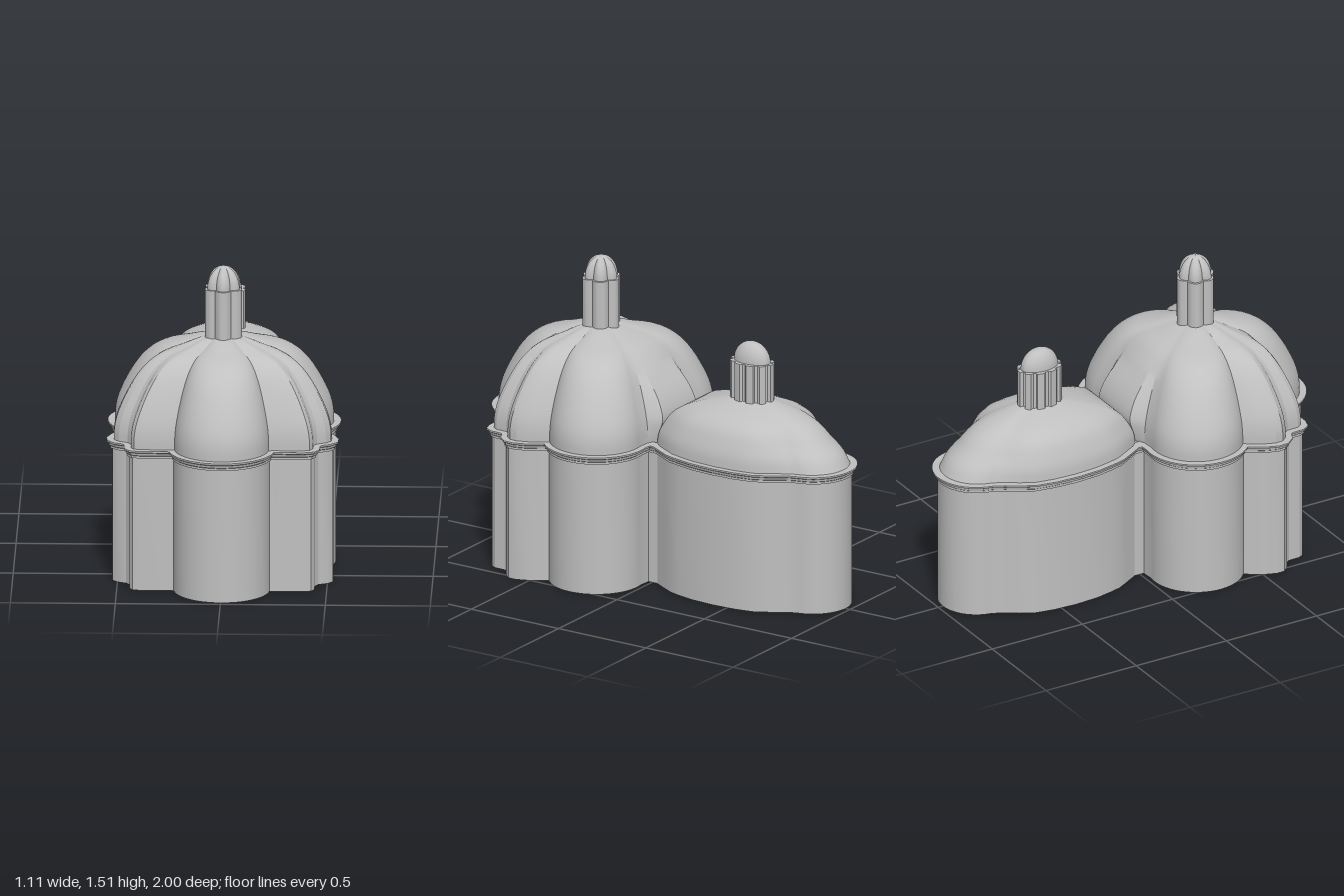
import * as THREE from 'three';
import { toCreasedNormals } from 'three/addons/utils/BufferGeometryUtils.js';

// Points (x, z) along an arc, angles in degrees measured from +x towards +z
function arc(cx, cz, r, from, to, n = 16) {
  return Array.from({ length: n + 1 }, (_, i) => {
    const a = THREE.MathUtils.degToRad(from + (to - from) * i / n);
    return [cx + r * Math.cos(a), cz + r * Math.sin(a)];
  });
}

// Close a right-hand half outline by reflecting it across x = 0
function mirrorOutline(half) {
  return [...half, ...half.slice(1, -1).reverse().map(([x, z]) => [-x, z])];
}

// Move an outline outward by d along its corner normals
function offset(outline, d) {
  const n = outline.length;
  return outline.map(([x, z], i) => {
    const [px, pz] = outline[(i + n - 1) % n], [qx, qz] = outline[(i + 1) % n];
    const a = new THREE.Vector2(-(z - pz), x - px).normalize();
    const b = new THREE.Vector2(-(qz - z), qx - x).normalize();
    const m = a.clone().add(b).normalize();
    const k = d / Math.max(0.65, m.dot(a));
    return [x + m.x * k, z + m.y * k];
  });
}

// Skin a stack of rings, each { y, pts }
function loft(rings, crease = 0.5) {
  const n = rings[0].pts.length, pos = [], idx = [];
  rings.forEach(({ y, pts }) => pts.forEach(([x, z]) => pos.push(x, y, z)));
  for (let i = 0; i < rings.length - 1; i++) {
    for (let j = 0; j < n; j++) {
      const a = i * n + j, b = i * n + (j + 1) % n, c = a + n, d = b + n;
      idx.push(a, b, c, b, d, c);
    }
  }
  const geo = new THREE.BufferGeometry();
  geo.setAttribute('position', new THREE.Float32BufferAttribute(pos, 3));
  geo.setIndex(idx);
  return toCreasedNormals(geo, crease);
}

// Smooth an [y, scale, ...] profile table into more rows
function smoothRows(rows, n) {
  const curves = rows[0].slice(1).map((_, k) =>
    new THREE.CatmullRomCurve3(rows.map(r => new THREE.Vector3(r[0], r[k + 1], 0))));
  return Array.from({ length: n + 1 }, (_, i) => {
    const p = curves.map(c => c.getPoint(i / n));
    return [p[0].x, ...p.map(v => v.y)];
  });
}

const scaled = (pts, s) => pts.map(([x, z]) => [x * s, z * s]);

export function createModel() {
  const group = new THREE.Group();
  const stone = new THREE.MeshStandardMaterial({ color: 0xc0c0c0, side: THREE.DoubleSide });
  stone.name = 'pale grey stone';
  const add = (name, geo, z = 0) => {
    const mesh = new THREE.Mesh(geo, stone);
    mesh.name = name;
    mesh.position.z = z;
    group.add(mesh);
  };

  // Lobed plan of the front hall and the long oval plan of the rear hall
  const frontHalf = [
    ...arc(0, 0.745, 0.23, 90, 8),
    [0.25, 0.775], [0.39, 0.775], [0.425, 0.765], [0.44, 0.74], [0.442, 0.68], [0.458, 0.655],
    [0.50, 0.635], [0.525, 0.605], [0.527, 0.565], [0.505, 0.505], [0.47, 0.45],
    ...arc(0.30, 0.25, 0.23, 49, -100, 26),
    [0.20, 0.02],
  ];
  const rearHalf = [
    [0.20, -0.03], [0.24, -0.10], [0.27, -0.155], [0.285, -0.21], [0.303, -0.30], [0.31, -0.42],
    [0.303, -0.54], [0.285, -0.635], [0.25, -0.70], [0.215, -0.755], [0.195, -0.79],
    ...arc(0, -0.79, 0.185, -10, -90),
  ];

  // Hollow walls with a flared moulding along the top: [offset, y]
  const plan = mirrorOutline([...frontHalf, ...rearHalf]);
  const wallProfile = [
    [-0.03, 0.69], [-0.03, 0], [0, 0], [0, 0.655], [0.008, 0.657], [0.008, 0.668],
    [0.014, 0.672], [0.017, 0.684], [0.026, 0.689], [0.026, 0.697], [-0.03, 0.697], [-0.03, 0.69],
  ];
  add('wallsAndCornice', loft(wallProfile.map(([d, y]) => ({ y, pts: offset(plan, d) }))));

  // Front dome: the plan shrinks towards its centre, with a fuller back: [y, scale, back fullness]
  const fc = 0.425;
  const frontPlan = mirrorOutline([...frontHalf, [0.15, 0.0], [0, -0.005]]);
  const frontRows = smoothRows([
    [0.69, 0.985, 1], [0.75, 0.982, 1.04], [0.81, 0.96, 1.1], [0.90, 0.89, 1.1], [1.0, 0.78, 1.03],
    [1.06, 0.68, 1], [1.10, 0.57, 1], [1.135, 0.38, 1], [1.17, 0.165, 1], [1.172, 0.01, 1],
  ], 36);
  add('frontDome', loft(frontRows.map(([y, s, f]) => ({
    y,
    pts: frontPlan.map(([x, z]) => {
      const full = z < 0.015 && Math.abs(x) < 0.18 ? f : 1;
      return [x * s, (z - fc) * s * full];
    }),
  })), 0.4), fc);

  // Rear dome with a lower rounded tail: [y, scale, tail scale]
  const rc = -0.44;
  const rearPlan = mirrorOutline([[0, 0], [0.17, 0], ...rearHalf]);
  const rearRows = smoothRows([
    [0.69, 0.985, 0.985], [0.75, 0.965, 0.92], [0.81, 0.90, 0.80], [0.86, 0.82, 0.70],
    [0.90, 0.69, 0.58], [0.93, 0.51, 0.44], [0.95, 0.34, 0.31], [0.965, 0.18, 0.18], [0.967, 0.01, 0.01],
  ], 32);
  add('rearDome', loft(rearRows.map(([y, s, tail]) => ({
    y,
    pts: rearPlan.map(([x, z]) => {
      const k = THREE.MathUtils.lerp(s, tail, THREE.MathUtils.smoothstep(-z, 0.66, 0.88));
      return [x * k, (z - rc) * k];
    }),
  })), 0.6), rc);

  // Finials: a ribbed shaft with a flat top edge and a rounded cap
  const ring = (n, fn) => Array.from({ length: n }, (_, i) => {
    const a = i / n * Math.PI * 2;
    const [rx, rz] = fn(a, i);
    return [rx * Math.sin(a), rz * Math.cos(a)];
  });
  const finial = (name, shaft, cap, y0, y1, y2, z) => {
    add(name + 'Shaft', loft([[y0, 1], [y1, 1], [y1, 0.01]].map(([y, s]) =>
      ({ y, pts: scaled(shaft, s) }))), z);
    add(name + 'Cap', loft(Array.from({ length: 13 }, (_, i) => {
      const a = i / 12 * Math.PI / 2;
      return { y: y1 + (y2 - y1) * Math.sin(a), pts: scaled(cap, Math.max(0.005, Math.cos(a))) };
    })), z);
  };

  // Six-lobed front finial
  const star = (r, d) => ring(72, a => Array(2).fill(r + d * Math.abs(Math.cos(3 * a))));
  finial('frontFinial', star(0.076, 0.02), star(0.066, 0.018), 1.15, 1.405, 1.512, fc);

  // Oval rear finial with square ribs
  const ribbed = ring(80, (a, i) => {
    const k = (i + 2) % 8 < 5 ? 1 : 0.88;
    return [0.082 * k, 0.115 * k];
  });
  const oval = ring(48, () => [0.06, 0.097]);
  finial('rearFinial', ribbed, oval, 0.94, 1.147, 1.245, rc);

  return group;
}
